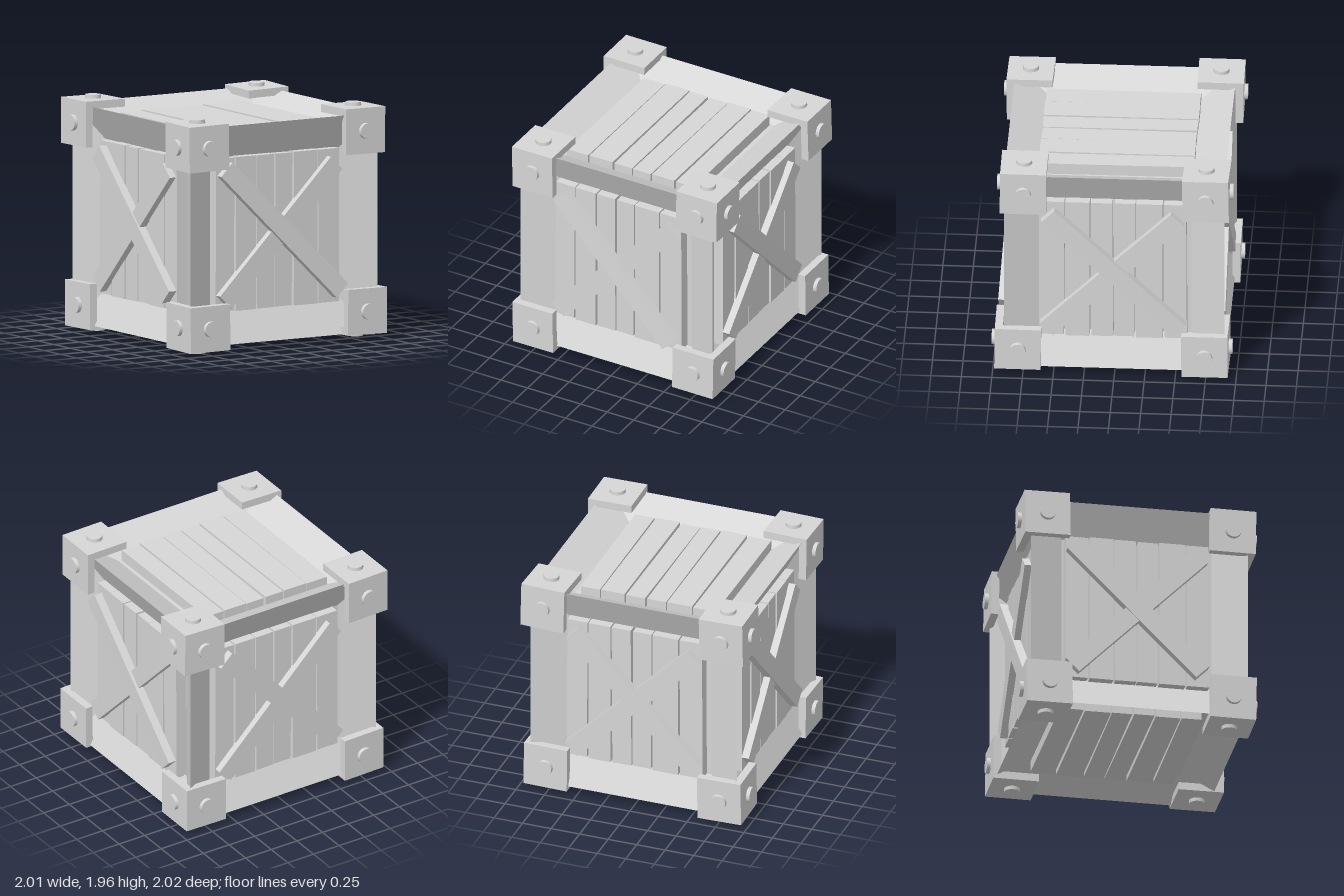
import * as THREE from 'three';

const wood = new THREE.MeshStandardMaterial({ color: 0xd6d6d6 });
wood.name = 'paleGrey';

const OUT = 0.905;   // half size of the crate at its ridges
const IN = 0.625;    // half size of the panel opening
const DEPTH = 0.76;  // where the frame slope meets the panel
const MID = 0.97;    // height of the crate centre

function add(parent, geometry, name, x = 0, y = 0, z = 0) {
  const m = new THREE.Mesh(geometry, wood);
  m.name = name;
  m.position.set(x, y, z);
  parent.add(m);
  return m;
}

// Four beams sloping inward from the crate's edges to the panel
function frameGeometry() {
  const ring = (r, z) => [[-r, -r, z], [r, -r, z], [r, r, z], [-r, r, z]];
  const o = ring(OUT, OUT), n = ring(IN, DEPTH), p = [];
  for (let i = 0; i < 4; i++) {
    const j = (i + 1) % 4;
    p.push(...o[i], ...o[j], ...n[j], ...o[i], ...n[j], ...n[i]);
  }
  const g = new THREE.BufferGeometry();
  g.setAttribute('position', new THREE.Float32BufferAttribute(p, 3));
  g.computeVertexNormals();
  return g;
}

// One side of the crate, facing local +z
function makeSide(name, cuts) {
  const side = new THREE.Group();
  side.name = name;
  add(side, frameGeometry(), 'frame');
  for (let i = 0; i < cuts.length - 1; i++) {
    const w = cuts[i + 1] - cuts[i] - 0.013;
    const lift = 0.004 * ((i * 2) % 3);
    const plank = add(side, new THREE.BoxGeometry(w, 1.265 + lift, 0.13), 'plank',
      (cuts[i] + cuts[i + 1]) / 2, -0.005, 0.768 + lift);
    plank.rotation.z = 0.005 * ((i % 3) - 1);
  }
  return side;
}

// Crossed braces; the upper one leans from depth a (top end) to depth b (bottom end)
function addBraces(side, a, b) {
  const size = [1.52, 0.155, 0.07];
  const under = add(side, new THREE.BoxGeometry(...size), 'lowerBrace', -0.02, -0.02, 0.86);
  under.rotation.z = Math.PI / 4;
  const over = add(side, new THREE.BoxGeometry(...size), 'upperBrace', -0.01, 0.005, (a + b) / 2 - 0.035);
  over.rotation.set(0, -Math.atan((b - a) / 1.52), -Math.PI / 4, 'ZYX');
}

// Corner bracket: three plates that meet at the outer corner, each with a bolt
function makeCorner(x, y, z, tilt) {
  const corner = new THREE.Group();
  corner.name = 'corner';
  corner.position.set(x, y, z);
  corner.rotation.set(tilt, -tilt, tilt);
  const sx = Math.sign(x), sy = Math.sign(y - MID), sz = Math.sign(z);
  const S = 0.38, T = 0.065, shift = (S - T) / 2, off = 0.195;
  add(corner, new THREE.BoxGeometry(T, S, S), 'cornerPlate', sx * shift, 0, 0);
  add(corner, new THREE.BoxGeometry(S, T, S), 'cornerPlate', 0, sy * shift, 0);
  add(corner, new THREE.BoxGeometry(S, S, T), 'cornerPlate', 0, 0, sz * shift);
  const bolt = new THREE.CylinderGeometry(0.064, 0.068, 0.05, 20);
  add(corner, bolt, 'bolt', sx * off, 0, 0).rotation.z = -sx * Math.PI / 2;
  add(corner, bolt, 'bolt', 0, sy * off, 0).rotation.x = sy > 0 ? 0 : Math.PI;
  add(corner, bolt, 'bolt', 0, 0, sz * off).rotation.x = sz * Math.PI / 2;
  return corner;
}

export function createModel() {
  const crate = new THREE.Group();
  crate.name = 'crate';
  const body = new THREE.Group();
  body.name = 'body';
  body.position.y = MID;
  crate.add(body);
  add(body, new THREE.BoxGeometry(1.48, 1.48, 1.48), 'core');

  // Upright sides: name, turn about y, brace depths
  const frontCuts = [-0.62, -0.43, -0.225, -0.045, 0.13, 0.37, 0.58];
  const sideCuts = [-0.61, -0.41, -0.2, -0.01, 0.17, 0.4, 0.595];
  const walls = [
    ['frontSide', 0, 0.9, 0.972, frontCuts],
    ['leftSide', Math.PI / 2, 0.935, 0.905, sideCuts],
    ['backSide', Math.PI, 0.9, 0.915, frontCuts],
    ['rightSide', -Math.PI / 2, 0.908, 0.908, sideCuts],
  ];
  for (const [name, turn, a, b, cuts] of walls) {
    const side = makeSide(name, cuts);
    addBraces(side, a, b);
    side.rotation.y = turn;
    body.add(side);
  }

  // Top and bottom have planks only
  const lidCuts = [-0.62, -0.41, -0.18, 0, 0.18, 0.4, 0.58];
  const top = makeSide('topSide', lidCuts);
  top.rotation.x = -Math.PI / 2;
  const bottom = makeSide('bottomSide', lidCuts);
  bottom.rotation.set(Math.PI / 2, 0, Math.PI / 2);
  body.add(top, bottom);

  // Slightly uneven corner brackets
  const corners = [
    [-0.757, 1.715, 0.775, 0.012], [0.77, 1.737, 0.748, -0.008],
    [-0.75, 0.22, 0.78, 0.012], [0.76, 0.247, 0.793, -0.012],
    [-0.785, 1.73, -0.783, -0.012], [0.785, 1.715, -0.755, 0.018],
    [-0.76, 0.22, -0.76, -0.012], [0.765, 0.222, -0.743, 0.008],
  ];
  for (const c of corners) crate.add(makeCorner(...c));
  return crate;
}
